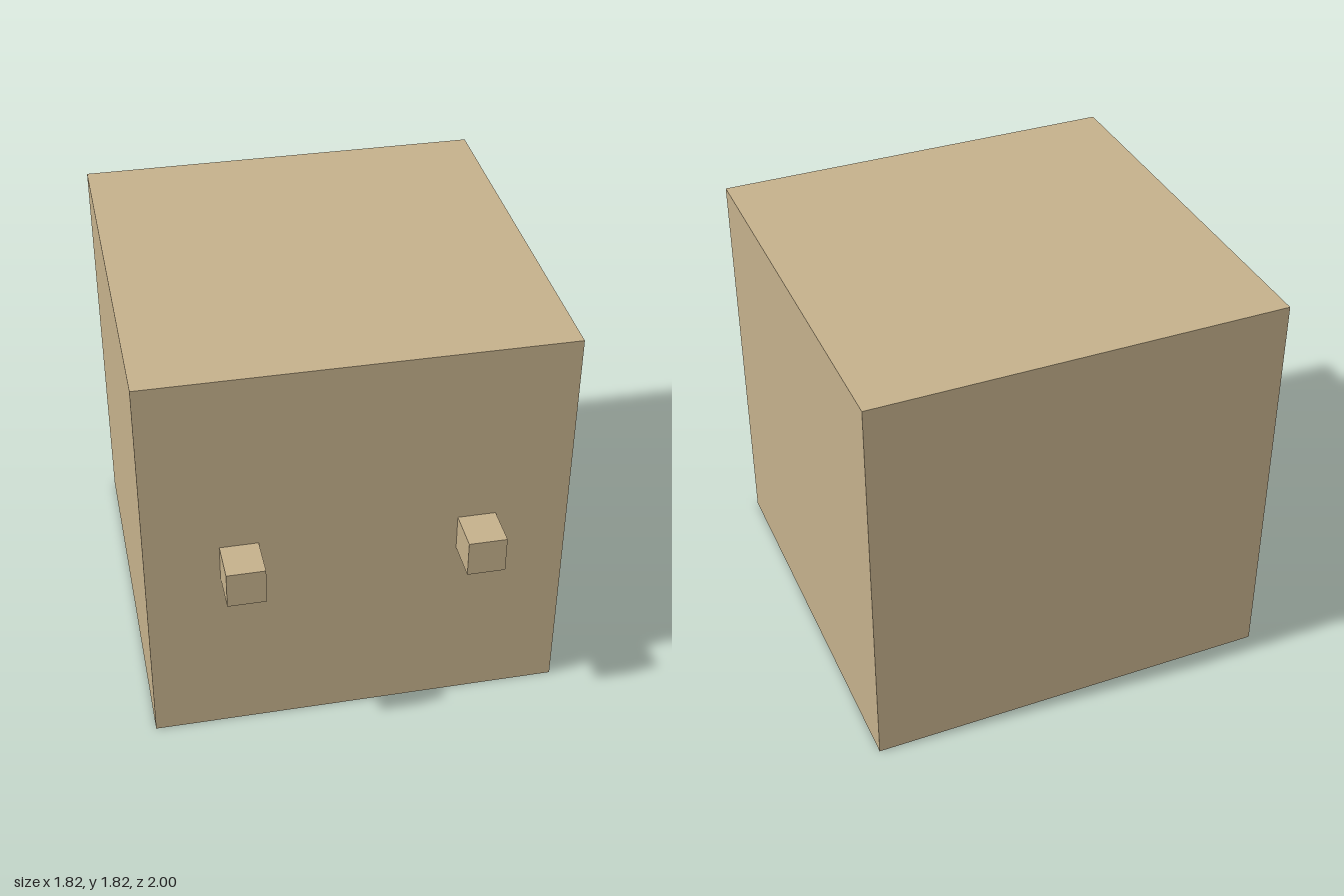
import * as THREE from 'three';

export function createModel() {
  const group = new THREE.Group();
  const material = new THREE.MeshStandardMaterial({ color: 0xc4b08b, flatShading: true });

  const addBox = (name, size, position) => {
    const mesh = new THREE.Mesh(new THREE.BoxGeometry(...size), material);
    mesh.name = name;
    mesh.position.set(...position);
    group.add(mesh);
  };

  // Cubic body standing on the ground
  const side = 1.818;
  addBox('body', [side, side, side], [0, side / 2, -1 + side / 2]);

  // Two square pegs projecting from the front face
  const peg = 0.165;
  const depth = 2 - side;
  for (const [name, s] of [['leftPeg', 1], ['rightPeg', -1]]) {
    addBox(name, [peg, peg, depth], [s * 0.509, side / 2, 1 - depth / 2]);
  }

  return group;
}
